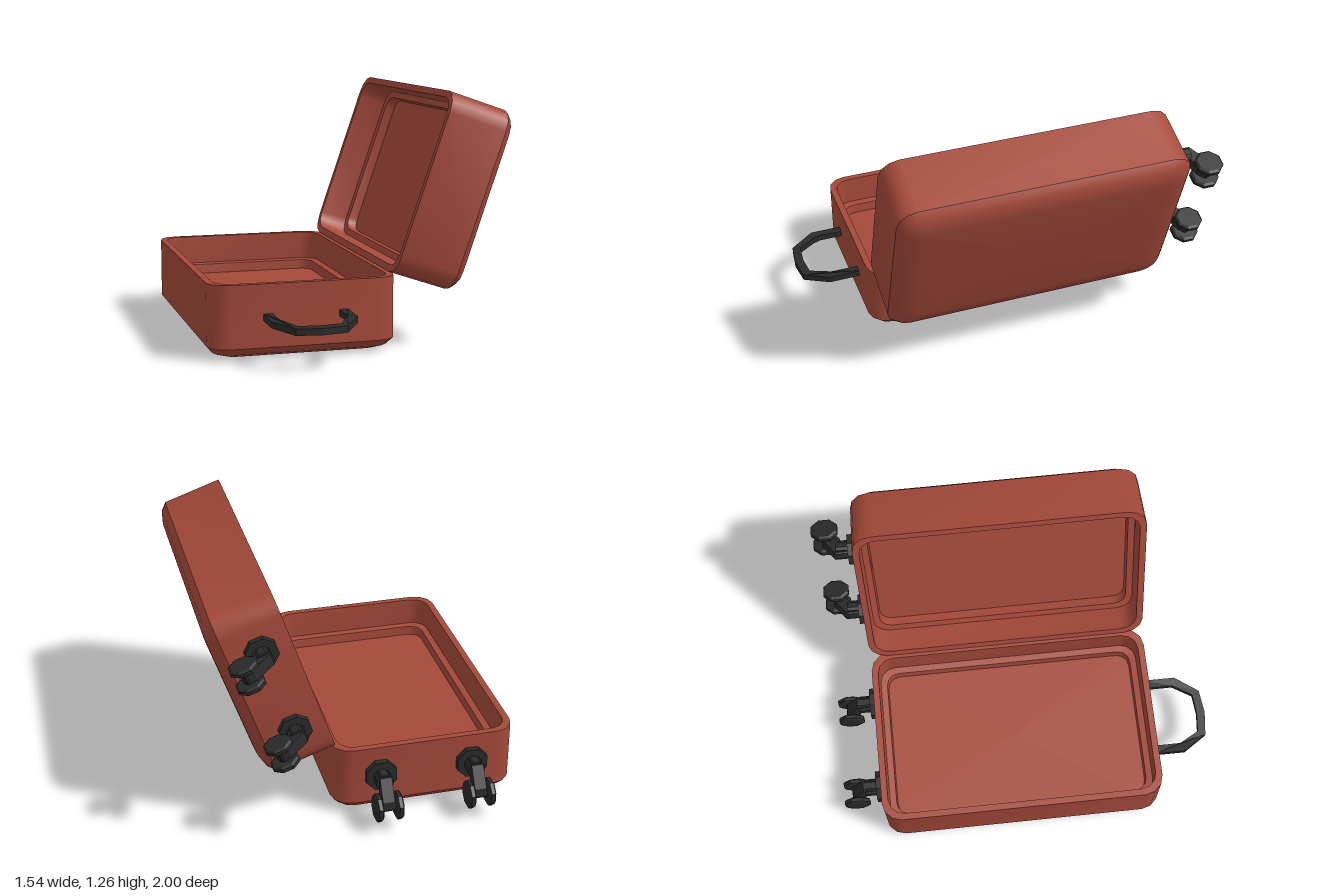
import * as THREE from 'three';
import { toCreasedNormals } from 'three/addons/utils/BufferGeometryUtils.js';

const red = new THREE.MeshStandardMaterial({ color: 0xa5493a });
red.name = 'red shell';
const black = new THREE.MeshStandardMaterial({ color: 0x2a2a2a });
black.name = 'black plastic';

const HALF_X = 0.467, HALF_Z = 0.7425, MID_Z = -0.0425, DEPTH = 0.37;

function part(name, geometry, material) {
  const mesh = new THREE.Mesh(geometry, material);
  mesh.name = name;
  return mesh;
}

// Rounded rectangle, three facets per corner
function ring(inset, y) {
  const r = Math.max(0.04, 0.1 - inset * 0.5);
  const points = [];
  [[1, 1], [-1, 1], [-1, -1], [1, -1]].forEach(([sx, sz], corner) => {
    for (let k = 0; k <= 3; k++) {
      const a = (corner + k / 3) * Math.PI / 2;
      points.push([
        sx * (HALF_X - inset - r) + r * Math.cos(a),
        y,
        MID_Z + sz * (HALF_Z - inset - r) + r * Math.sin(a),
      ]);
    }
  });
  return points;
}

// Open tray lofted from outer bottom, over the rim, to the stepped inner floor
function shellGeometry() {
  const profile = [
    [0.13, -0.37], [0.085, -0.366], [0.03, -0.345], [0, -0.31], [0, 0],
    [0.034, 0], [0.036, -0.15], [0.07, -0.155], [0.074, -0.205],
  ];
  const rings = profile.map(([inset, y]) => ring(inset, y));
  const n = rings[0].length, last = rings.length - 1;
  const bottom = [0, -DEPTH, MID_Z], floor = [0, profile[last][1], MID_Z];
  const positions = [];
  const tri = (...corners) => corners.forEach((c) => positions.push(...c));
  for (let j = 0; j < n; j++) {
    const k = (j + 1) % n;
    tri(bottom, rings[0][j], rings[0][k]);
    for (let i = 0; i < last; i++) {
      tri(rings[i][j], rings[i + 1][j], rings[i][k]);
      tri(rings[i][k], rings[i + 1][j], rings[i + 1][k]);
    }
    tri(rings[last][j], floor, rings[last][k]);
  }
  const g = new THREE.BufferGeometry();
  g.setAttribute('position', new THREE.Float32BufferAttribute(positions, 3));
  return toCreasedNormals(g, 0.6);
}

// Twin-wheel caster: mounting plate, bent arm, axle and two eight-sided wheels
function caster() {
  const group = new THREE.Group();
  group.name = 'caster';

  const plate = new THREE.CylinderGeometry(0.083, 0.083, 0.035, 8);
  plate.rotateY(Math.PI / 8).rotateX(Math.PI / 2).translate(0, -0.15, -0.7975);
  group.add(part('mountingPlate', toCreasedNormals(plate, 0.3), black));

  const neck = new THREE.CylinderGeometry(0.045, 0.045, 0.07, 8);
  neck.rotateY(Math.PI / 8).rotateX(Math.PI / 2).translate(0, -0.15, -0.84);
  group.add(part('neck', toCreasedNormals(neck, 0.3), black));

  // Side outline of the arm as (z, y)
  const outline = [
    [-0.82, -0.115], [-0.885, -0.115], [-0.95, -0.215], [-0.955, -0.26],
    [-0.92, -0.28], [-0.89, -0.25], [-0.865, -0.19], [-0.82, -0.19],
  ].map(([z, y]) => new THREE.Vector2(z, y));
  const arm = new THREE.ExtrudeGeometry(new THREE.Shape(outline), { depth: 0.06, bevelEnabled: false });
  arm.translate(0, 0, -0.03).rotateY(-Math.PI / 2);
  group.add(part('arm', arm, black));

  const axle = new THREE.CylinderGeometry(0.025, 0.025, 0.11, 8);
  axle.rotateZ(Math.PI / 2).translate(0, -0.25, -0.93);
  group.add(part('axle', toCreasedNormals(axle, 0.3), black));

  const wheelProfile = [[0, -0.017], [0.06, -0.017], [0.073, -0.009], [0.073, 0.009], [0.06, 0.017], [0, 0.017]]
    .map(([r, y]) => new THREE.Vector2(r, y));
  const wheel = toCreasedNormals(new THREE.LatheGeometry(wheelProfile, 8), 0.3);
  wheel.rotateY(Math.PI / 8).rotateZ(Math.PI / 2);
  for (const side of [-1, 1]) {
    const mesh = part('wheel', wheel, black);
    mesh.position.set(side * 0.051, -0.25, -0.93);
    group.add(mesh);
  }
  return group;
}

// One half of the case, origin at the centre of its opening
function caseHalf(name) {
  const group = new THREE.Group();
  group.name = name;
  group.add(part('shell', shellGeometry(), red));
  for (const side of [-1, 1]) {
    const c = caster();
    c.position.x = side * 0.235;
    group.add(c);
  }
  return group;
}

// Faceted carrying loop, drooping slightly toward its grip
function handle() {
  const outer = [[0.21, 0.69], [0.21, 0.86], [0.125, 0.985], [0, 1.0]];
  const inner = [[0, 0.955], [0.105, 0.945], [0.165, 0.84], [0.165, 0.69]];
  const mirror = (list) => list.filter(([x]) => x > 0).map(([x, z]) => [-x, z]).reverse();
  const loop = [...outer, ...mirror(outer), ...mirror(inner), ...inner];
  const shape = new THREE.Shape(loop.map(([x, z]) => new THREE.Vector2(x, z)));
  const g = new THREE.ExtrudeGeometry(shape, { depth: 0.032, bevelEnabled: false });
  g.rotateX(Math.PI / 2);
  const p = g.attributes.position;
  for (let i = 0; i < p.count; i++) {
    p.setY(i, p.getY(i) - 0.145 - 0.11 * Math.max(0, p.getZ(i) - 0.84));
  }
  g.computeVertexNormals();
  return part('handle', g, black);
}

export function createModel() {
  const model = new THREE.Group();
  model.name = 'openSuitcase';

  const base = caseHalf('base');
  base.position.set(-0.3075, DEPTH, 0);
  base.add(handle());

  // Lid swung open about the long edge
  const lid = caseHalf('lid');
  lid.position.set(0.2925, 0.8175, 0);
  lid.rotation.z = THREE.MathUtils.degToRad(71);

  model.add(base, lid);
  return model;
}
